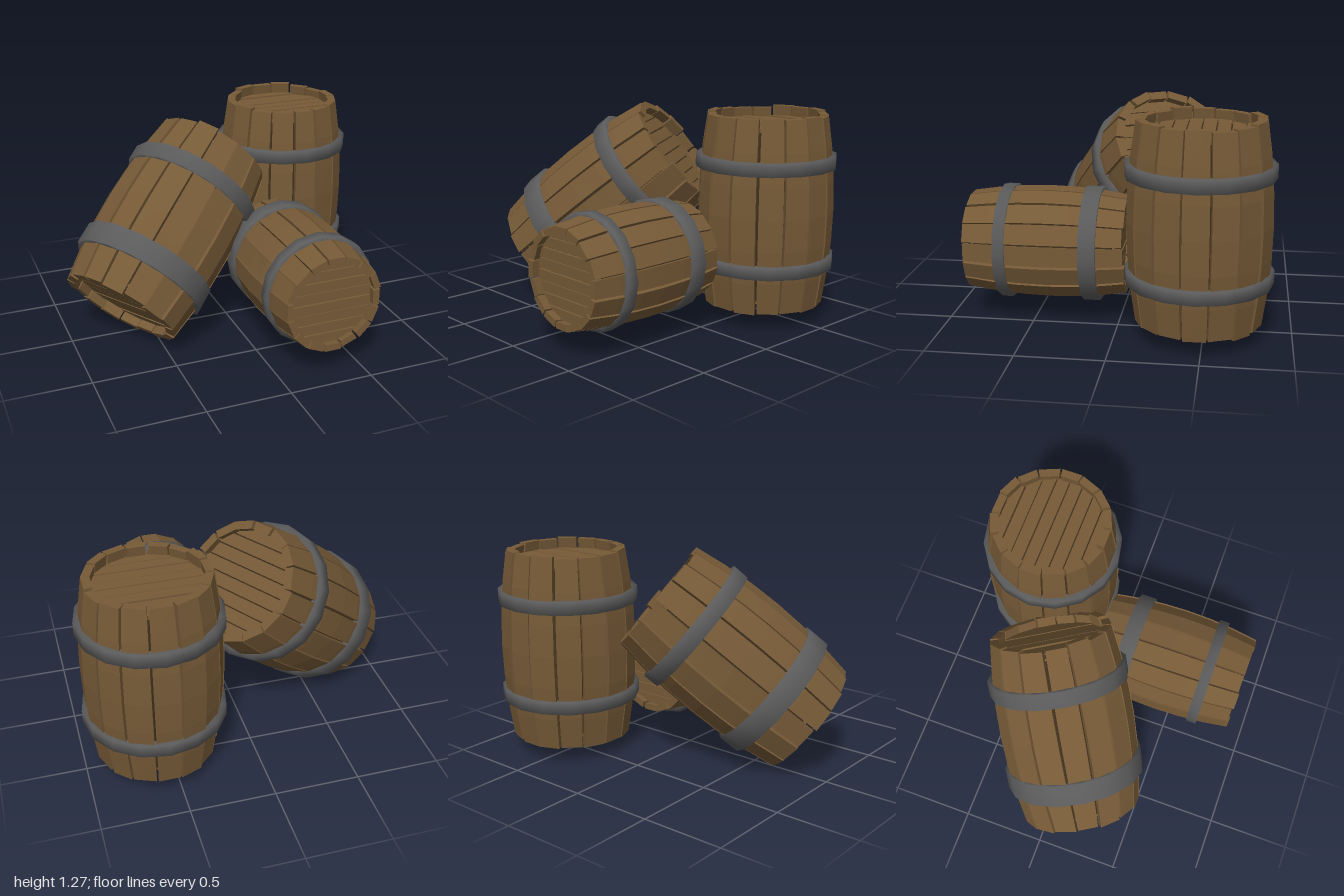
import * as THREE from 'three';

const wood = new THREE.MeshStandardMaterial({ color: 0x765a37 });
wood.name = 'oak wood';
const gapWood = new THREE.MeshStandardMaterial({ color: 0x3b2c1a });
gapWood.name = 'dark gap wood';
const iron = new THREE.MeshStandardMaterial({ color: 0x5c5c5c });
iron.name = 'iron';

const HALF = 0.57;      // half the barrel length
const STAVES = 16;
const HEAD_Y = 0.515;   // outer face of the recessed heads
const HEAD_R = 0.322;

function makeRandom(seed) {
  let s = seed;
  return () => {
    s = (s * 16807) % 2147483647;
    return s / 2147483647;
  };
}

// Outer radius of the bulging barrel at height y
const bulge = (y) => 0.358 + 0.05 * (1 - (y / HALF) ** 2);

function flat(geometry) {
  const g = geometry.index ? geometry.toNonIndexed() : geometry;
  g.computeVertexNormals();
  return g;
}

function addMesh(parent, geometry, material, name) {
  const mesh = new THREE.Mesh(geometry, material);
  mesh.name = name;
  parent.add(mesh);
  return mesh;
}

// One curved stave: a box bent along the bulge and around the axis
function staveGeometry(angle, rand) {
  const g = new THREE.BoxGeometry(1, 1, 1, 1, 6, 1);
  const p = g.attributes.position;
  const width = (Math.PI * 2 / STAVES) * (0.87 + rand() * 0.08);
  const top = HALF - 0.008 + rand() * 0.02;
  const bottom = -HALF + 0.008 - rand() * 0.02;
  const out = (rand() - 0.5) * 0.012;
  const twist = (rand() - 0.5) * 0.03;
  for (let i = 0; i < p.count; i++) {
    const y = THREE.MathUtils.lerp(bottom, top, p.getY(i) + 0.5);
    const r = bulge(y) + out - (p.getZ(i) < 0 ? 0.05 : 0);
    const a = angle + p.getX(i) * width + twist * p.getY(i);
    p.setXYZ(i, Math.sin(a) * r, y, Math.cos(a) * r);
  }
  return flat(g);
}

// One head plank: a strip of the round head between z0 and z1
function plankGeometry(z0, z1, thickness) {
  const right = [];
  for (let i = 0; i <= 4; i++) {
    const z = THREE.MathUtils.lerp(z0, z1, i / 4);
    right.push(new THREE.Vector2(Math.sqrt(Math.max(0, HEAD_R ** 2 - z * z)) + 0.001, z));
  }
  const left = right.map((v) => new THREE.Vector2(-v.x, v.y)).reverse();
  const shape = new THREE.Shape([...right, ...left]);
  const g = new THREE.ExtrudeGeometry(shape, { depth: thickness, bevelEnabled: false });
  g.rotateX(-Math.PI / 2);
  return g;
}

function makeHead(rand) {
  const head = new THREE.Group();
  const count = 8;
  const step = (HEAD_R * 2) / count;
  for (let i = 0; i < count; i++) {
    const z = -HEAD_R + i * step;
    const lift = rand() * 0.008;
    const plank = addMesh(head, plankGeometry(z + 0.004, z + step - 0.004, 0.03 + lift), wood, 'headPlank');
    plank.position.y = HEAD_Y - 0.035;
  }
  return head;
}

function hoopGeometry(y, height) {
  const inner = 0.375, outer = 0.419, h = height / 2;
  const profile = [[inner, -h], [outer, -h], [outer, h], [inner, h]];
  const g = new THREE.LatheGeometry(profile.map(([r, v]) => new THREE.Vector2(r, v)), STAVES);
  return g.translate(0, y, 0);
}

// hoops is a list of [height along the axis, hoop width]
function makeBarrel(name, seed, hoops) {
  const rand = makeRandom(seed);
  const barrel = new THREE.Group();
  barrel.name = name;

  for (let i = 0; i < STAVES; i++) {
    addMesh(barrel, staveGeometry((i / STAVES) * Math.PI * 2, rand), wood, 'stave');
  }

  // Dark core seen through the gaps
  const core = [new THREE.Vector2(0, -HEAD_Y + 0.02)];
  for (let i = 0; i <= 6; i++) {
    const y = THREE.MathUtils.lerp(-HEAD_Y + 0.02, HEAD_Y - 0.02, i / 6);
    core.push(new THREE.Vector2(bulge(y) - 0.035, y));
  }
  core.push(new THREE.Vector2(0, HEAD_Y - 0.02));
  addMesh(barrel, flat(new THREE.LatheGeometry(core, STAVES)), gapWood, 'core');

  const topHead = makeHead(rand);
  topHead.name = 'topHead';
  const bottomHead = makeHead(rand);
  bottomHead.name = 'bottomHead';
  bottomHead.rotation.x = Math.PI;
  barrel.add(topHead, bottomHead);

  for (const [y, height] of hoops) addMesh(barrel, hoopGeometry(y, height), iron, 'hoop');
  return barrel;
}

// Places a barrel by its centre, axis and head plank direction
function place(barrel, centre, axis, plankDirection, scale) {
  const y = new THREE.Vector3(...axis).normalize();
  const z = new THREE.Vector3(...plankDirection).cross(y).normalize();
  const x = new THREE.Vector3().crossVectors(y, z);
  barrel.quaternion.setFromRotationMatrix(new THREE.Matrix4().makeBasis(x, y, z));
  barrel.position.set(...centre);
  barrel.scale.setScalar(scale);
  return barrel;
}

export function createModel() {
  const model = new THREE.Group();
  model.name = 'barrelPile';
  model.add(
    place(makeBarrel('uprightBarrel', 11, [[-0.305, 0.075], [0.295, 0.078]]),
      [0.573, 0.675, -0.468], [0, 1, 0], [1, 0, 0], 1),
    place(makeBarrel('lyingBarrel', 257, [[0.3, 0.08], [-0.325, 0.12]]),
      [0.305, 0.44, 0.425], [0, 0, 1], [1, 0, 0], 0.81),
    place(makeBarrel('leaningBarrel', 4099, [[-0.3, 0.13], [0.29, 0.095]]),
      [-0.36, 0.64, -0.04], [0.66, 0.634, -0.41], [0.41, 0, 0.66], 1),
  );
  return model;
}
